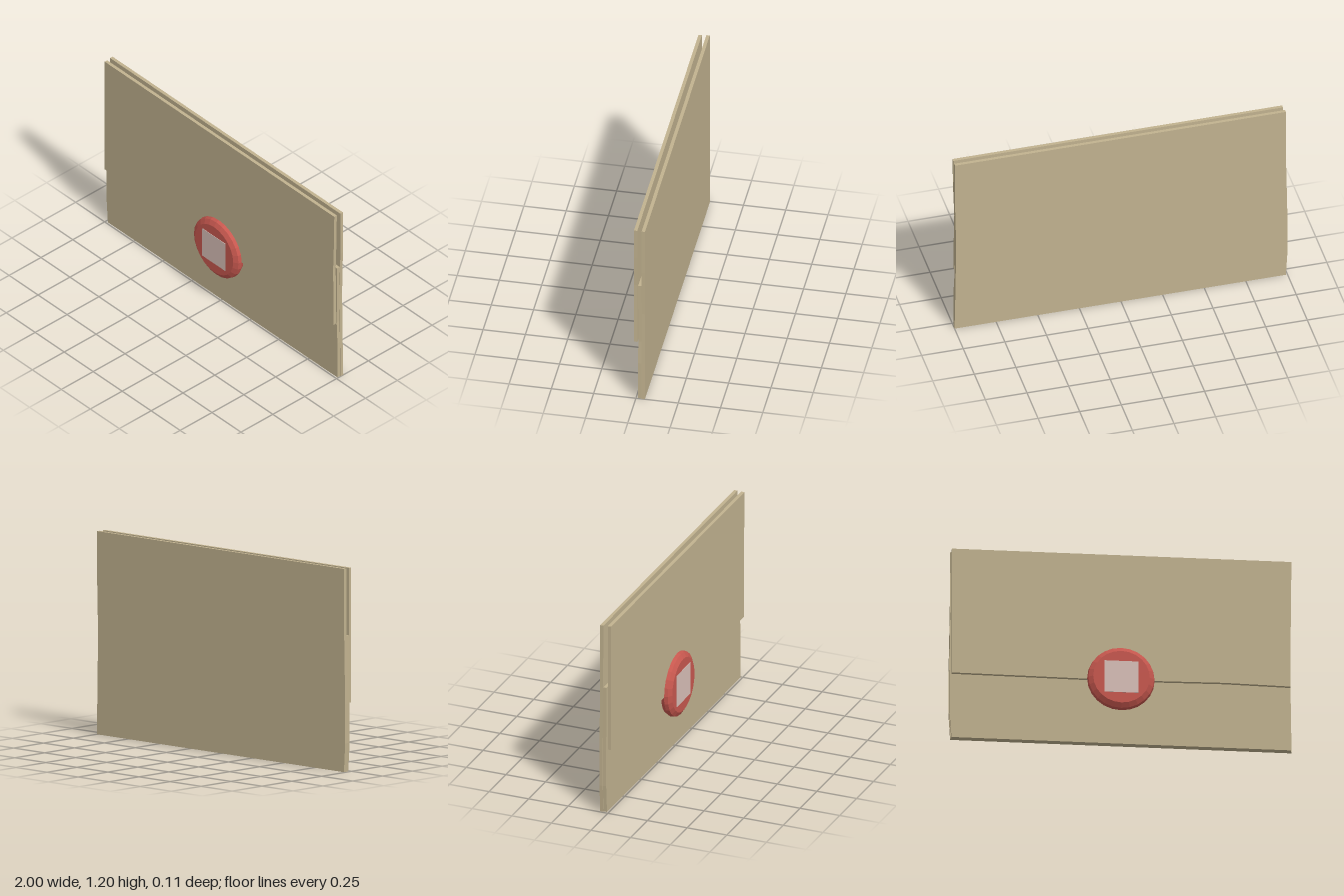
import * as THREE from 'three';

const mat = (name, color, flatShading = false) => {
  const m = new THREE.MeshStandardMaterial({ color, flatShading });
  m.name = name;
  return m;
};

export function createModel() {
  const group = new THREE.Group();
  const paper = mat('tan paper', 0xc1b28f);
  const wax = mat('red wax', 0xc8584f, true);
  const pale = mat('pale stamp', 0xd9c0b8);

  // A sheet of stiff paper with slightly uneven cut edges
  function addSheet(name, outline, zBack, thickness) {
    const shape = new THREE.Shape(outline.map(([x, y]) => new THREE.Vector2(x, y)));
    const geo = new THREE.ExtrudeGeometry(shape, { depth: thickness, bevelEnabled: false });
    const mesh = new THREE.Mesh(geo, paper);
    mesh.name = name;
    mesh.position.z = zBack;
    group.add(mesh);
  }

  addSheet('backSheet', [
    [-0.99, 0], [1, 0], [0.995, 0.25], [0.99, 0.6], [0.997, 0.9], [0.997, 1.195],
    [-0.99, 1.195], [-0.992, 0.8], [-1, 0.4], [-1, 0.17],
  ], -0.053, 0.02);

  addSheet('frontPocket', [
    [-0.985, 0], [0.995, 0], [0.995, 0.25], [0.988, 0.4], [0.992, 0.8],
    [-0.992, 0.8], [-0.997, 0.4], [-0.997, 0.17],
  ], -0.033, 0.021);

  addSheet('closingFlap', [
    [-0.985, 0.402], [-0.55, 0.399], [-0.2, 0.396], [0.2, 0.398], [0.6, 0.404], [0.99, 0.397],
    [0.985, 0.8], [0.992, 1.0], [0.995, 1.195], [-0.985, 1.195],
  ], -0.007, 0.02);

  // Rounded wax seal, turned about an axis that faces the front
  const profile = [
    [0, -0.012], [0.185, -0.012], [0.197, 0.012], [0.192, 0.034], [0.165, 0.051], [0, 0.052],
  ].map(([r, h]) => new THREE.Vector2(r, h));
  const seal = new THREE.Mesh(new THREE.LatheGeometry(profile, 24), wax);
  seal.name = 'waxSeal';
  seal.rotation.x = Math.PI / 2;
  seal.position.y = 0.4;
  group.add(seal);

  // Square plate set on the face of the seal
  const plate = new THREE.Mesh(new THREE.BoxGeometry(0.2, 0.2, 0.004), pale);
  plate.name = 'sealPlate';
  plate.position.set(0, 0.4, 0.0515);
  group.add(plate);

  return group;
}
